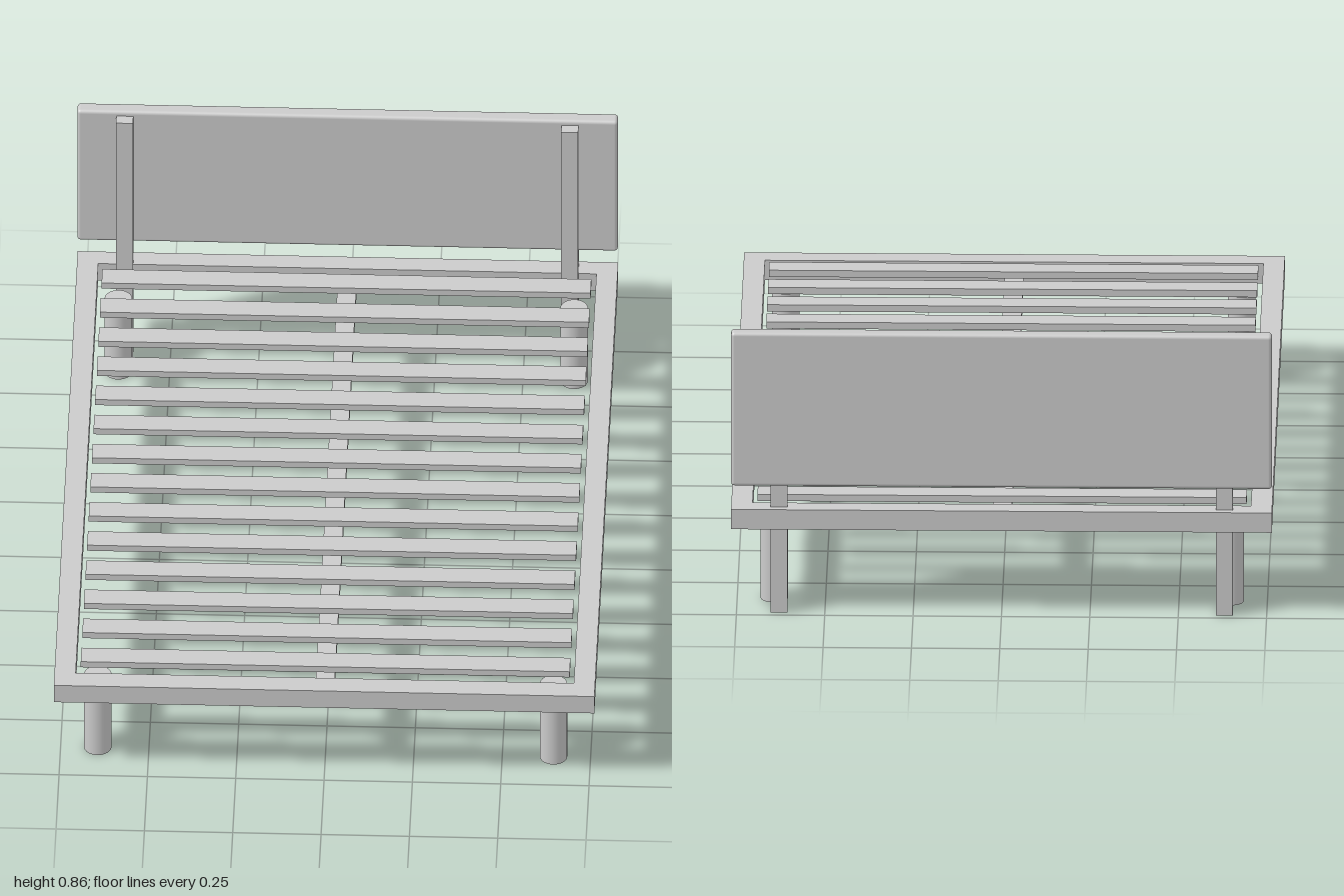
import * as THREE from 'three';
import { RoundedBoxGeometry } from 'three/addons/geometries/RoundedBoxGeometry.js';

export function createModel() {
  const bed = new THREE.Group();
  bed.name = 'bed';
  const material = new THREE.MeshStandardMaterial({ color: 0xcccccc });

  const add = (name, geometry, x, y, z) => {
    const mesh = new THREE.Mesh(geometry, material);
    mesh.name = name;
    mesh.position.set(x, y, z);
    bed.add(mesh);
  };
  // Box given by its extents on each axis
  const box = (name, [x0, x1], [y0, y1], [z0, z1]) =>
    add(name, new THREE.BoxGeometry(x1 - x0, y1 - y0, z1 - z0),
      (x0 + x1) / 2, (y0 + y1) / 2, (z0 + z1) / 2);

  // Frame
  const railY = [0.26, 0.32];
  box('leftRail', [0.705, 0.765], railY, [-1, 1]);
  box('rightRail', [-0.765, -0.705], railY, [-1, 1]);
  box('footRail', [-0.705, 0.705], railY, [0.94, 1]);
  box('headRail', [-0.705, 0.705], railY, [-1, -0.945]);

  // Centre beam under the slats
  box('centreBeam', [-0.027, 0.027], [0.247, 0.28], [-0.94, 0.935]);

  // Slats
  const slatCount = 14;
  for (let i = 0; i < slatCount; i++) {
    const z = THREE.MathUtils.lerp(-0.875, 0.869, i / (slatCount - 1));
    box('slat', [-0.692, 0.692], [0.31, 0.33], [z - 0.032, z + 0.032]);
  }

  // Round legs and headboard posts, mirrored
  const legGeometry = new THREE.CylinderGeometry(0.039, 0.039, 0.26, 32);
  for (const side of [-1, 1]) {
    add('frontLeg', legGeometry, side * 0.645, 0.13, 0.867);
    add('backLeg', legGeometry, side * 0.645, 0.13, -0.863);
    add('headboardPost', new THREE.BoxGeometry(0.048, 0.84, 0.055), side * 0.63, 0.42, -0.953);
  }

  // Headboard panel with softened edges
  add('headboard', new RoundedBoxGeometry(1.53, 0.465, 0.042, 4, 0.01), 0, 0.6225, -0.979);

  return bed;
}
